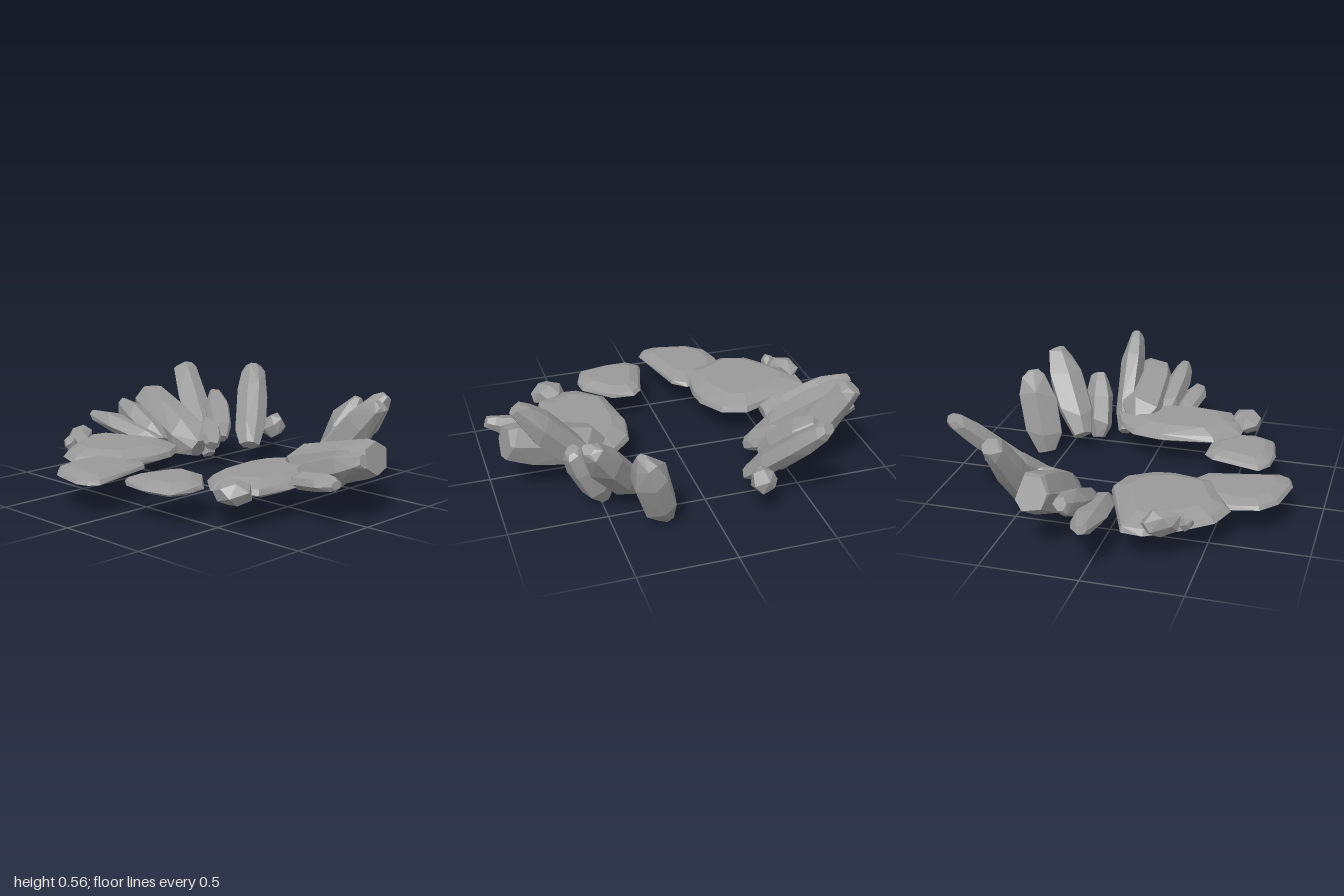
import * as THREE from 'three';
import { ConvexGeometry } from 'three/addons/geometries/ConvexGeometry.js';

const material = new THREE.MeshStandardMaterial({ color: 0x999999, flatShading: true });
const V = (x, y, z) => new THREE.Vector3(x, y, z);

let seed = 7;
function rand() {
  seed = (seed * 16807) % 2147483647;
  return seed / 2147483647;
}

function addHull(group, name, points) {
  const mesh = new THREE.Mesh(new ConvexGeometry(points), material);
  mesh.name = name;
  group.add(mesh);
}

// Long faceted stone from foot a to tip b; the width lies level, the depth across it.
// footSize and tipSize say how blunt the ends are.
function shard(group, name, a, b, width, depth, footSize, tipSize) {
  const foot = V(...a), tip = V(...b);
  const axis = tip.clone().sub(foot).normalize();
  const side = V(0, 1, 0).cross(axis).normalize();
  const up = axis.clone().cross(side);
  const rings = [[0, footSize], [0.24, 0.97], [0.68, 1], [0.9, (1 + tipSize) / 2], [1, tipSize]];
  const edges = Array.from({ length: 6 }, () => ({ shift: 0.4 * rand(), size: 0.95 + 0.2 * rand() }));
  const points = [];
  rings.forEach(([t, r]) => {
    edges.forEach((edge, i) => {
      const angle = (i + edge.shift) * Math.PI / 3;
      const k = r * edge.size * (0.95 + 0.1 * rand()) / 2;
      // Inner rings are staggered so the facets run unevenly
      const along = t > 0 && t < 1 ? t + 0.16 * (rand() - 0.5) : t;
      points.push(foot.clone().lerp(tip, along)
        .addScaledVector(side, Math.cos(angle) * k * width)
        .addScaledVector(up, Math.sin(angle) * k * depth));
    });
  });
  addHull(group, name, points);
}

// Flat stone: outline in x and z, bevelled towards a smaller top and bottom
function slab(group, name, outline, low, high) {
  const cx = outline.reduce((s, p) => s + p[0], 0) / outline.length;
  const cz = outline.reduce((s, p) => s + p[1], 0) / outline.length;
  const h = high - low;
  const points = [];
  outline.forEach(([x, z]) => {
    [[1, 0.38], [0.96, 0.66], [0.66, 0.97], [0.7, 0.04]].forEach(([s, t]) => {
      const j = s === 1 ? 1 : 0.93 + 0.1 * rand();
      points.push(V(cx + (x - cx) * s * j, low + h * t, cz + (z - cz) * s * j));
    });
  });
  addHull(group, name, points);
}

// Small rounded stone with uneven facets
function pebble(group, name, c, size, turn) {
  const points = [];
  for (let i = 0; i < 16; i++) {
    const v = 1 - 2 * (i + 0.5) / 16, a = i * 2.4 + 0.4 * rand(), r = Math.sqrt(1 - v * v);
    points.push(V(r * Math.cos(a) * size[0] / 2, v * size[1] / 2, r * Math.sin(a) * size[2] / 2)
      .multiplyScalar(0.96 + 0.12 * rand())
      .applyAxisAngle(V(0, 1, 0), turn).add(V(...c)));
  }
  addHull(group, name, points);
}

export function createModel() {
  seed = 7;
  const model = new THREE.Group();
  model.name = 'rockRing';

  // Flat slabs along the low side of the ring
  slab(model, 'backSlab', [[-0.6, -0.46], [-0.55, -0.6], [-0.4, -0.72], [-0.25, -0.81], [-0.14, -0.8],
    [0.02, -0.4], [-0.02, -0.27], [-0.15, -0.19], [-0.25, -0.18], [-0.48, -0.21]], 0.13, 0.235);
  slab(model, 'backRightSlab', [[-0.85, -0.12], [-0.81, -0.32], [-0.73, -0.41], [-0.6, -0.44],
    [-0.4, -0.42], [-0.35, -0.18], [-0.41, -0.11], [-0.78, -0.02], [-0.83, -0.05]], 0.14, 0.21);
  slab(model, 'frontRightSlab', [[-0.65, 0.01], [-0.39, 0.08], [-0.34, 0.13], [-0.35, 0.25],
    [-0.48, 0.39], [-0.56, 0.4], [-0.68, 0.36], [-0.71, 0.2], [-0.7, 0.08]], 0.14, 0.215);
  slab(model, 'frontSlab', [[-0.48, 0.43], [-0.36, 0.29], [-0.06, 0.25], [0.1, 0.28], [0.2, 0.38],
    [0.25, 0.5], [0.15, 0.65], [-0.2, 0.69], [-0.39, 0.66], [-0.48, 0.5]], 0.13, 0.23);

  // Small stones beside the slabs
  pebble(model, 'backPebble', [-0.32, 0.215, -0.735], [0.2, 0.13, 0.13], 0.5);
  pebble(model, 'tinyPebble', [-0.43, 0.21, -0.69], [0.08, 0.09, 0.07], 0);
  pebble(model, 'frontPebble', [-0.48, 0.19, 0.585], [0.18, 0.13, 0.19], 0.4);
  pebble(model, 'sidePebble', [0.705, 0.205, -0.23], [0.14, 0.16, 0.13], -0.4);

  // Leaning shards: foot, tip, width, depth, bluntness of foot and tip
  const front = [
    [[-0.1, 0.18, 0.6], [-0.14, 0.22, 0.92], 0.12, 0.09, 0.5, 0.5],
    [[-0.01, 0.17, 0.54], [-0.03, 0.33, 0.99], 0.12, 0.13, 0.5, 0.5],
    [[0.11, 0.17, 0.4], [0.15, 0.3, 0.93], 0.25, 0.21, 0.25, 0.8],
    [[0.2, 0.09, 0.47], [0.24, 0.54, 0.88], 0.13, 0.16, 0.5, 0.45],
    [[0.36, 0.03, 0.48], [0.4, 0.36, 0.65], 0.15, 0.17, 0.45, 0.4],
    [[0.41, 0.1, 0.34], [0.64, 0.5, 0.62], 0.2, 0.16, 0.55, 0.35],
    [[0.59, 0.02, 0.24], [0.71, 0.45, 0.38], 0.22, 0.17, 0.45, 0.25],
  ];
  const back = [
    [[0.03, 0.17, -0.48], [-0.01, 0.27, -1], 0.14, 0.11, 0.6, 0.4],
    [[0.08, 0.16, -0.5], [0.12, 0.33, -0.89], 0.13, 0.13, 0.5, 0.5],
    [[0.23, 0.12, -0.37], [0.27, 0.34, -0.86], 0.21, 0.23, 0.5, 0.75],
    [[0.38, 0.05, -0.44], [0.5, 0.52, -0.77], 0.16, 0.15, 0.45, 0.6],
    [[0.38, 0.16, -0.34], [0.55, 0.38, -0.56], 0.15, 0.13, 0.5, 0.45],
    [[0.27, 0.14, -0.3], [0.4, 0.25, -0.46], 0.12, 0.11, 0.6, 0.4],
    [[0.5, 0.12, -0.23], [0.82, 0.51, -0.5], 0.16, 0.12, 0.6, 0.5],
  ];
  front.forEach((s, i) => shard(model, 'frontShard' + (i + 1), ...s));
  back.forEach((s, i) => shard(model, 'backShard' + (i + 1), ...s));
  return model;
}
